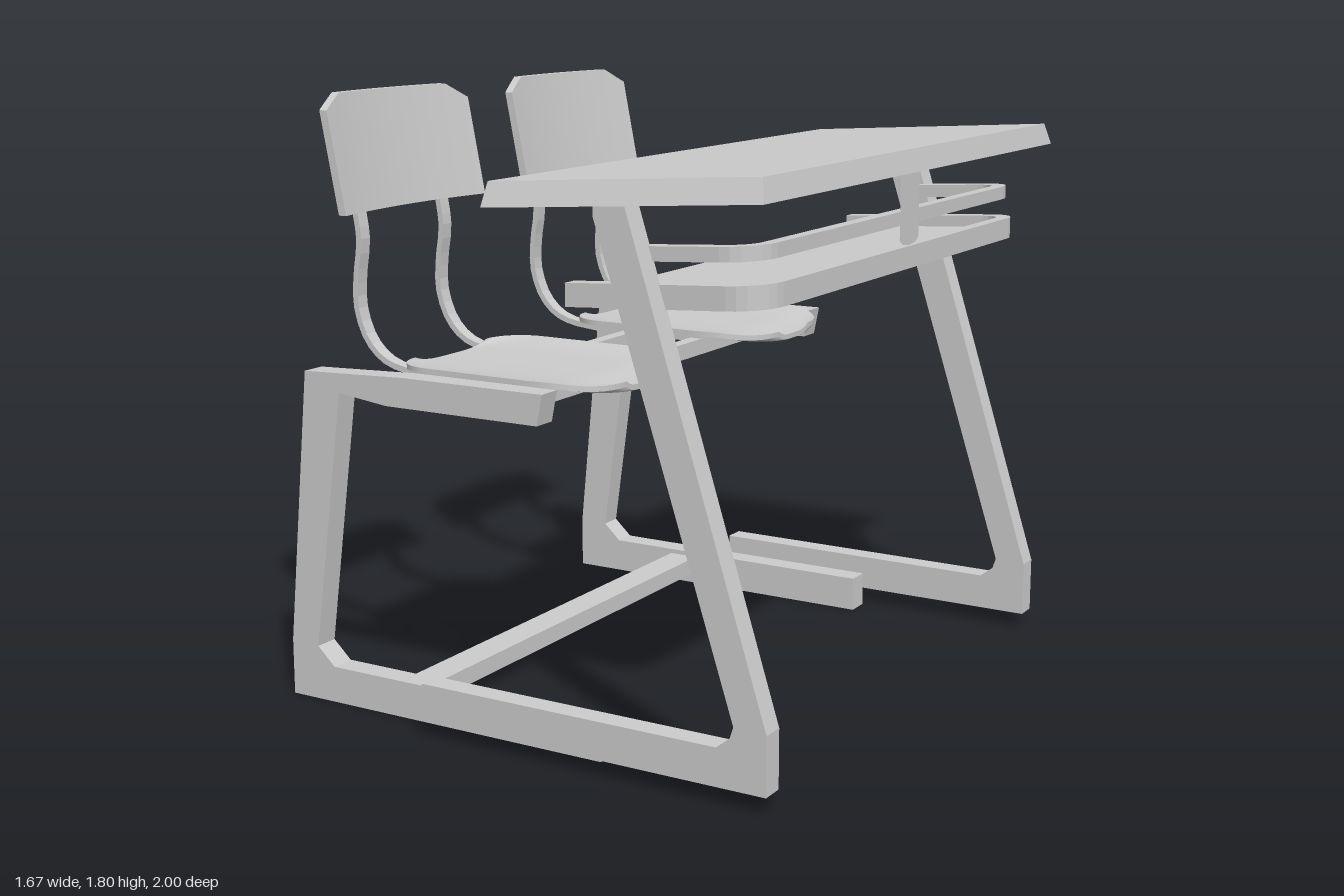
import * as THREE from 'three';

const mat = new THREE.MeshStandardMaterial({ color: 0xcccccc });
const thinMat = new THREE.MeshStandardMaterial({ color: 0xcccccc, side: THREE.DoubleSide });

function add(parent, name, geometry, material = mat) {
  const mesh = new THREE.Mesh(geometry, material);
  mesh.name = name;
  parent.add(mesh);
  return mesh;
}

const toShape = (pts) => new THREE.Shape(pts.map(([x, y]) => new THREE.Vector2(x, y)));

// Side profile in x/y, extruded across z and centred on zc
function slab(pts, zc, width) {
  const g = new THREE.ExtrudeGeometry(toShape(pts), { depth: width, bevelEnabled: false });
  return g.translate(0, 0, zc - width / 2);
}

function box(x0, x1, y0, y1, z0, z1) {
  return new THREE.BoxGeometry(x1 - x0, y1 - y0, z1 - z0)
    .translate((x0 + x1) / 2, (y0 + y1) / 2, (z0 + z1) / 2);
}

// Move every vertex by a rule
function deform(g, rule) {
  const p = g.attributes.position;
  const v = new THREE.Vector3();
  for (let i = 0; i < p.count; i++) {
    rule(v.fromBufferAttribute(p, i));
    p.setXYZ(i, v.x, v.y, v.z);
  }
  g.computeVertexNormals();
  return g;
}

// Flat strap of given thickness following a path in x/y
function strap(path, zc, width, thickness) {
  const curve = new THREE.CatmullRomCurve3(path.map(([x, y]) => new THREE.Vector3(x, y, 0)));
  const a = [], b = [];
  for (let i = 0; i <= 24; i++) {
    const p = curve.getPoint(i / 24), t = curve.getTangent(i / 24);
    const h = thickness / 2;
    a.push([p.x - t.y * h, p.y + t.x * h]);
    b.unshift([p.x + t.y * h, p.y - t.x * h]);
  }
  return slab([...a, ...b], zc, width);
}

// Rounded plan outline open towards -x: out along one side, round both corners, back along the other
function planPoints(x0, x1, hz, r) {
  const pts = [[x0, -hz]];
  for (const s of [-1, 1]) {
    for (let i = 0; i <= 6; i++) {
      const a = s < 0 ? -Math.PI / 2 + (i / 6) * Math.PI / 2 : (i / 6) * Math.PI / 2;
      pts.push([x1 - r + r * Math.cos(a), s * (hz - r) + r * Math.sin(a)]);
    }
  }
  pts.push([x0, hz]);
  return pts;
}

// Plan outline extruded upwards from yBase (height at x = 0) and sheared to the desk slope
function slopedPlan(pts, yBase, height) {
  const g = new THREE.ExtrudeGeometry(toShape(pts), { depth: height, bevelEnabled: false });
  g.rotateX(-Math.PI / 2);
  return deform(g, (v) => { v.y += yBase + 0.06 * v.x; });
}

const uRail = (x0, x1, hz, r, w) =>
  [...planPoints(x0, x1, hz, r), ...planPoints(x0, x1 - w, hz - w, r - w).reverse()];

function makeDesk() {
  const desk = new THREE.Group();
  desk.name = 'desk';

  // Sloped top with bevelled, slightly tapering edges
  add(desk, 'desktop', deform(new THREE.BoxGeometry(2, 2, 2), (v) => {
    const back = v.x > 0, top = v.y > 0, side = Math.sign(v.z);
    if (back) v.set(top ? 0.815 : 0.83, top ? 1.662 : 1.597, side * (top ? 0.952 : 0.978));
    else v.set(top ? 0.006 : 0, top ? 1.61 : 1.542, side * (top ? 0.97 : 0.998));
  }));

  // L-shaped side legs
  const leg = [[-0.28, 0.05], [0.83, 0.05], [0.83, 0.22], [0.405, 1.566], [0.31, 1.558],
    [0.31, 1.53], [0.732, 0.225], [0.72, 0.19], [0.68, 0.16], [-0.28, 0.16]];
  for (const s of [1, -1]) add(desk, 'deskLeg', slab(leg, s * 0.9, 0.07));

  // Book shelf with rim, and the guard rail above it
  add(desk, 'shelfRim', slopedPlan(uRail(0.18, 0.777, 0.872, 0.11, 0.045), 1.265, 0.065));
  add(desk, 'shelfPanel', slopedPlan(planPoints(0.2, 0.75, 0.84, 0.08), 1.275, 0.02));
  add(desk, 'guardRail', slopedPlan(uRail(0.38, 0.758, 0.872, 0.11, 0.045), 1.39, 0.04));

  // Thin hanging plate joining top and rails
  const tab = toShape([[-0.035, 1.592], [-0.035, 1.395], [-0.015, 1.382], [0.03, 1.376],
    [0.075, 1.382], [0.095, 1.395], [0.095, 1.592]]);
  add(desk, 'hangingPlate', new THREE.ShapeGeometry(tab).rotateY(Math.PI / 2).translate(0.766, 0, 0), thinMat);
  return desk;
}

function makeBench() {
  const bench = new THREE.Group();
  bench.name = 'benchFrame';

  // C-shaped side frames
  const side = [[-0.838, 0], [0.26, 0], [0.26, 0.05], [0.26, 0.11], [-0.68, 0.11], [-0.74, 0.165],
    [-0.63, 0.95], [-0.46, 0.93], [0.06, 0.93], [0.078, 1.02], [-0.4, 1.018], [-0.755, 1.003],
    [-0.838, 0.17]];
  for (const s of [1, -1]) add(bench, 'benchSide', slab(side, s * 0.8, 0.075));

  // Cross bars: one at the floor, two under the seats
  add(bench, 'floorBar', box(-0.46, -0.36, 0.04, 0.095, -0.78, 0.78));
  for (const x of [-0.31, -0.06]) add(bench, 'seatBar', box(x - 0.021, x + 0.021, 0.945, 0.995, -0.78, 0.78));
  return bench;
}

function makeSeat(zc) {
  const seat = new THREE.Group();
  seat.name = 'seat';
  seat.position.z = zc;

  // Dished seat pan with rounded corners and a drooping front edge
  const x0 = -0.505, x1 = 0.175, rb = 0.12, rf = 0.2;
  add(seat, 'seatPan', deform(new THREE.BoxGeometry(2, 1, 2, 28, 1, 14), (v) => {
    const u = Math.sin(v.x * Math.PI / 2), t = v.z;
    const x = x0 + (u + 1) / 2 * (x1 - x0);
    const corner = (r, d) => (d < r ? r - Math.sqrt(Math.max(0, r * r - (r - d) ** 2)) : 0);
    const half = 0.3 - corner(rb, x - x0) - corner(rf, x1 - x);
    const droop = 0.025 * THREE.MathUtils.smoothstep(x, 0.02, x1);
    v.set(x, 1.0 + 0.018 * t ** 4 + 0.008 * (1 - droop / 0.025) + v.y * 0.016 - droop * 0.3, t * half);
  }));

  // Curved backrest, leaning back, with clipped upper corners
  add(seat, 'backrest', deform(new THREE.BoxGeometry(1, 1, 2, 1, 1, 16), (v) => {
    const t = v.z;
    const clip = 0.045 * Math.max(0, (Math.abs(t) - 0.75) / 0.25);
    const y = v.y > 0 ? 1.803 - clip : 1.46;
    const back = -0.675 - 0.2 * (y - 1.46) + 0.033 * t * t;
    v.set(back + (v.x > 0 ? 0.026 : 0), y, t * 0.34);
  }));

  // Bent straps from under the pan up behind the backrest
  const path = [[-0.04, 0.993], [-0.3, 0.993], [-0.5, 1.0], [-0.59, 1.025], [-0.65, 1.08], [-0.685, 1.17],
    [-0.685, 1.26], [-0.67, 1.37], [-0.68, 1.45], [-0.71, 1.6], [-0.741, 1.755]];
  for (const s of [1, -1]) add(seat, 'backStrap', strap(path, s * 0.2, 0.042, 0.018));
  return seat;
}

export function createModel() {
  const model = new THREE.Group();
  model.name = 'schoolDesk';
  model.add(makeDesk(), makeBench(), makeSeat(0.457), makeSeat(-0.462));
  return model;
}
